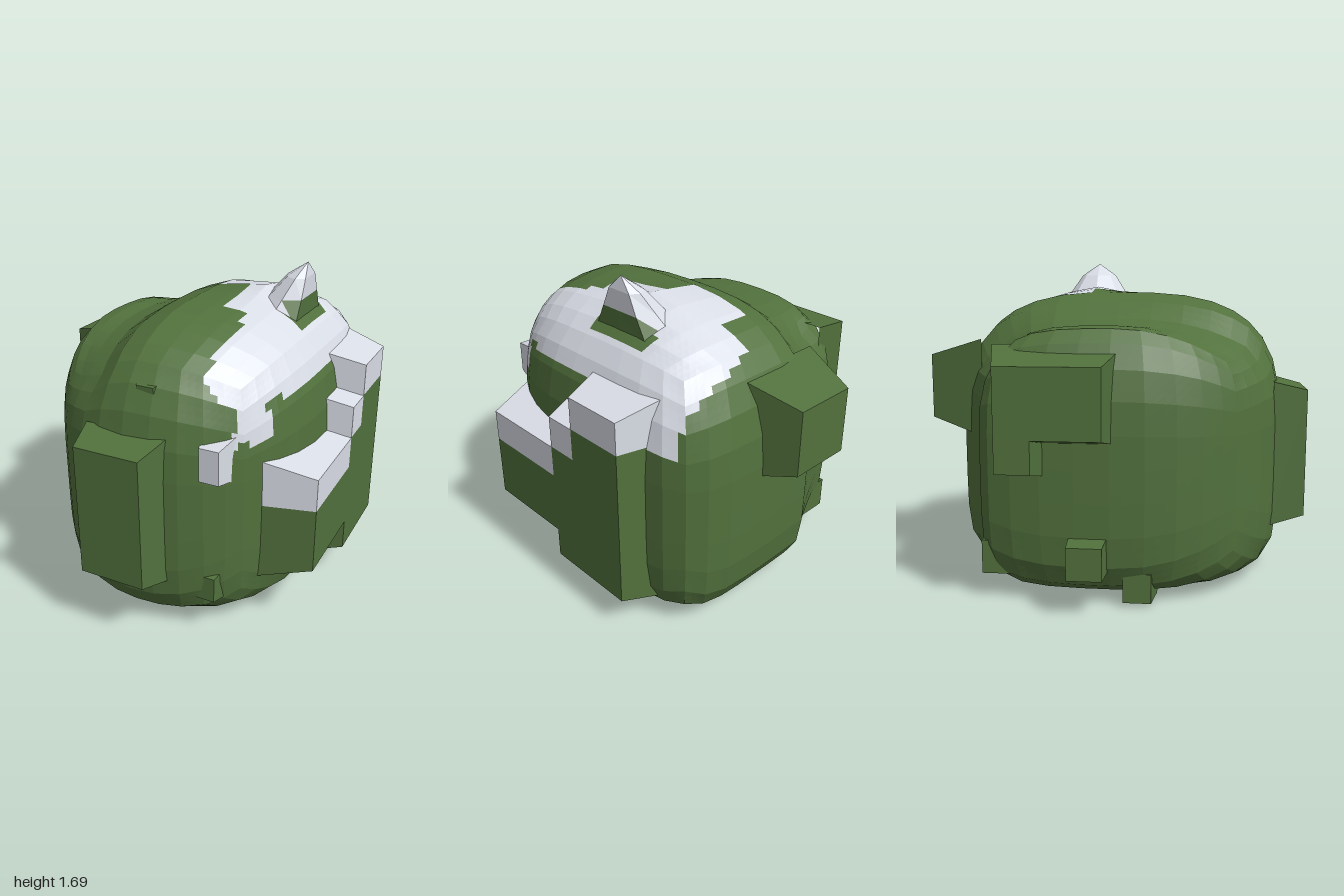
import * as THREE from 'three';

const green = new THREE.MeshStandardMaterial({ color: 0x52713d });
green.name = 'leaf green';
const snow = new THREE.MeshStandardMaterial({ color: 0xdde1ea });
snow.name = 'snow white';
const brown = new THREE.MeshStandardMaterial({ color: 0x857470 });
brown.name = 'bark brown';

// Faceted copy of a geometry, with every vertex moved by a rule
function facet(geometry, rule) {
  const g = geometry.toNonIndexed();
  const p = g.attributes.position;
  const v = new THREE.Vector3();
  for (let i = 0; i < p.count; i++) {
    v.fromBufferAttribute(p, i);
    rule(v);
    p.setXYZ(i, v.x, v.y, v.z);
  }
  g.computeVertexNormals();
  return g;
}

// Split faces between green (0) and snow (1) by the centre of each run of vertices
function paint(g, run, isSnow) {
  const p = g.attributes.position;
  const c = new THREE.Vector3();
  const v = new THREE.Vector3();
  g.clearGroups();
  let start = 0;
  let last = -1;
  for (let i = 0; i < p.count; i += run) {
    c.set(0, 0, 0);
    for (let k = 0; k < run; k++) c.add(v.fromBufferAttribute(p, i + k));
    const m = isSnow(c.divideScalar(run)) ? 1 : 0;
    if (m !== last && last >= 0) {
      g.addGroup(start, i - start, last);
      start = i;
    }
    last = m;
  }
  g.addGroup(start, p.count - start, last);
  return g;
}

// Rounded body: squarer at the back, tapering to the front, flat underneath
const { smoothstep } = THREE.MathUtils;
function bodyPoint(x, y, z) {
  const size = Math.max(Math.abs(x), Math.abs(y), Math.abs(z));
  const a = z > 0 ? (x > 0 ? 2.25 : 2.0) : (x > 0 ? 5.5 : 3.2);
  const b = y > 0 ? 3 : 6.5;
  const h = (Math.abs(x) ** a + Math.abs(z) ** a) ** (1 / a);
  const s = size / (h ** b + Math.abs(y) ** b) ** (1 / b);
  const out = new THREE.Vector3(x * s * 0.71, 0.752 + y * s * 0.748, 0.02 + z * s * 0.855);
  // Lower shoulder on one side of the top
  const drop = smoothstep(-out.x, 0.05, 0.26) * (1 - smoothstep(-out.x, 0.38, 0.62));
  out.y -= 0.115 * drop * smoothstep(out.y, 0.9, 1.4);
  // Hollow beside the back clump
  const hollow = smoothstep(-out.x, 0.12, 0.36) * (1 - smoothstep(-out.x, 0.46, 0.64));
  out.z += 0.1 * hollow * smoothstep(-out.z, 0.3, 0.7);
  // Swelling under the peak
  const reach = (out.x - 0.3) ** 2 + (out.z + 0.17) ** 2;
  out.y += 0.05 * Math.exp(-reach / 0.03) * smoothstep(out.y, 1.2, 1.4);
  return out;
}

// Large facets: blend between the points of a coarse lattice
const lattice = [10, 9, 10];
function bodyRule(v) {
  const t = v.toArray().map((c, i) => ((c + 1) / 2) * lattice[i]);
  const lo = t.map((c, i) => Math.min(Math.floor(c + 1e-4), lattice[i] - 1));
  v.set(0, 0, 0);
  for (let n = 0; n < 8; n++) {
    let w = 1;
    const q = lo.map((base, i) => {
      const step = (n >> i) & 1;
      const f = t[i] - base;
      w *= step ? f : 1 - f;
      return ((base + step) / lattice[i]) * 2 - 1;
    });
    if (w > 1e-4) v.addScaledVector(bodyPoint(...q), w);
  }
}

const within = (n, a, b) => n > a && n < b;
const bare = (c) => c.x > 0.44 && within(c.y, 1.37, 1.5) && within(c.z, -0.36, 0);

// Stepped patch of snow over the top and one side
function bodySnow(c) {
  if (bare(c) || c.x < 0) return false;
  if (within(c.z, 0.5, 0.68) && c.x > 0.48 && c.y > 1.0) return true;
  if (within(c.z, -0.69, -0.5) && c.x > 0.5 && c.y > 1.0) return true;
  if (c.y < 1.17) return false;
  if (c.x > 0.33) return within(c.z, -0.7, 0.67);
  if (c.x > 0.17) return within(c.z, -0.67, 0.17);
  return within(c.z, -0.5, -0.17);
}

// Block between two corners. The inner end and any skipped sides are left out;
// the sides that remain spread by flare towards the inner end.
const sides = ['px', 'nx', 'py', 'ny', 'pz', 'nz'];
function block(name, material, min, max, inner, flare = 0, skip = []) {
  const a = new THREE.Vector3(...min);
  const b = new THREE.Vector3(...max);
  const size = b.clone().sub(a);
  const mid = a.clone().add(b).multiplyScalar(0.5);
  const box = new THREE.BoxGeometry(size.x, size.y, size.z);
  const keep = sides.map((s) => s !== inner && !skip.includes(s));
  box.setIndex([...box.index.array].filter((_, i) => keep[Math.floor(i / 6)]));
  const g = facet(box, (v) => {
    const at = ['x', 'y', 'z'].map((k) => (v[k] > 0 ? 'p' : 'n') + k);
    if (at.includes(inner)) {
      for (const s of at) {
        if (keep[sides.indexOf(s)]) v[s[1]] += s[0] === 'p' ? flare : -flare;
      }
    }
    v.add(mid);
  });
  g.clearGroups();
  const mesh = new THREE.Mesh(g, material);
  mesh.name = name;
  return mesh;
}

export function createModel() {
  const group = new THREE.Group();
  group.name = 'snowyBush';

  const bodyGeometry = facet(new THREE.BoxGeometry(2, 2, 2, 30, 27, 30), bodyRule);
  const body = new THREE.Mesh(paint(bodyGeometry, 6, bodySnow), [green, snow]);
  body.name = 'body';
  group.add(body);

  // Leaning peak on the snow patch
  const profile = [[0.25, 1.38], [0.165, 1.5], [0.1, 1.6], [0, 1.67]].map((p) => new THREE.Vector2(...p));
  const peakGeometry = facet(new THREE.LatheGeometry(profile, 8), (v) => {
    v.x = Math.min(v.x * 0.75 + 0.36 + (v.y - 1.36) * 0.42, 0.505);
    v.z -= 0.165;
  });
  const peak = new THREE.Mesh(paint(peakGeometry, 3, (c) => !(c.x > 0.45 && c.y < 1.49)), [green, snow]);
  peak.name = 'peak';
  group.add(peak);

  // Clumps on the front, back and sides
  group.add(
    block('frontClump', green, [-0.17, 0.33, 0.82], [0.17, 1.0, 1.0], 'nz', 0.045),
    block('backClump', green, [-0.17, 0.83, -1.0], [0.17, 1.17, -0.7], 'pz', 0.09),
    block('rightClump', green, [-0.83, 0.83, -0.5], [-0.5, 1.17, 0], 'px', 0.08),
    block('rightClumpLower', green, [-0.83, 0.67, -0.5], [-0.5, 0.83, -0.33], 'px', 0.08, ['py']),
    block('rightTwig', green, [-0.83, 0.17, -0.17], [-0.64, 0.33, 0], 'px', 0.01),
    block('bottomSpur', green, [-0.66, 0.004, 0.08], [-0.45, 0.15, 0.22], 'px', 0.02),
    block('backCornerBump', green, [-0.6, 0.11, -0.63], [-0.3, 0.28, -0.45], 'px'),
    block('browBump', green, [0.04, 1.19, 0.62], [0.13, 1.26, 0.78], 'nz', 0.04),
    block('chinBump', green, [0.31, 0.19, 0.55], [0.43, 0.32, 0.77], 'nz', 0.04),
    block('cheekSnow', snow, [0.36, 0.85, 0.58], [0.46, 1.02, 0.79], 'nz', 0.04),
  );

  // Stepped slab with snow on each step: back z, front z, bottom y, top y, hidden sides
  const steps = [
    [-0.5, -0.17, 0.17, 1.17, ['py', 'pz'], ['ny']],
    [-0.17, 0, 0.17, 1.0, ['py', 'nz'], ['ny', 'nz']],
    [0, 0.5, 0.33, 0.83, ['py', 'nz'], ['ny', 'nz']],
  ];
  for (const [z0, z1, y0, y1, hiddenGreen, hiddenSnow] of steps) {
    const edge = y1 - 0.167;
    group.add(
      block('leftSlab', green, [0.56, y0, z0], [0.83, edge, z1], 'nx', 0.07, hiddenGreen),
      block('slabSnow', snow, [0.56, edge, z0], [0.83, y1, z1], 'nx', 0.07, hiddenSnow),
    );
  }

  // Trunk mark on the underside
  group.add(
    block('trunkMarkAcross', brown, [-0.25, 0, -0.083], [0.25, 0.006, 0.083], 'py'),
    block('trunkMarkFront', brown, [-0.083, 0, 0.083], [0.083, 0.006, 0.25], 'py'),
    block('trunkMarkBack', brown, [-0.083, 0, -0.25], [0.083, 0.006, -0.083], 'py'),
  );
  return group;
}
